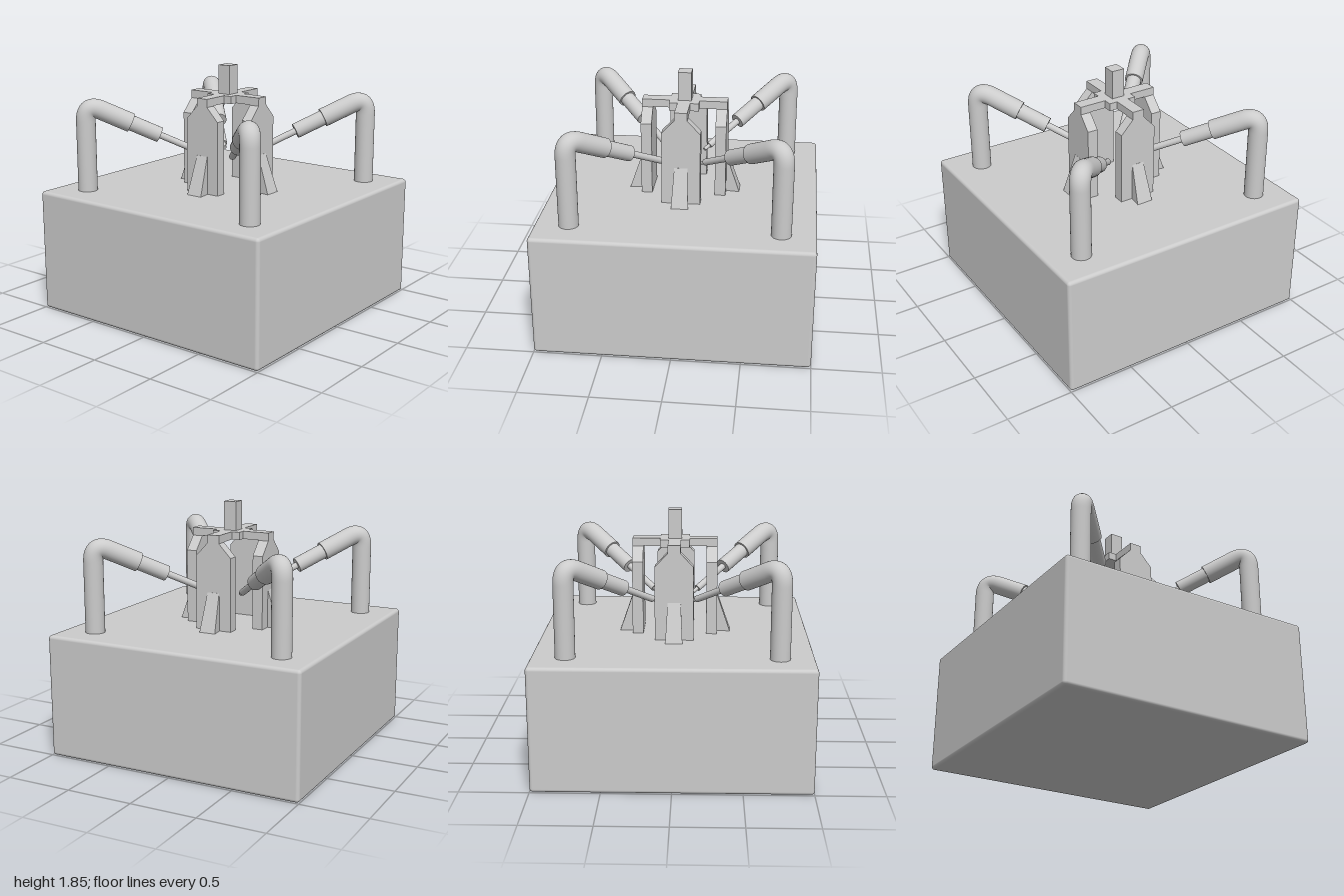
import * as THREE from 'three';
import { RoundedBoxGeometry } from 'three/addons/geometries/RoundedBoxGeometry.js';

const material = new THREE.MeshStandardMaterial({ color: 0xcccccc });
const BASE_TOP = 0.92;

function add(parent, name, geometry, x = 0, y = 0, z = 0) {
  const mesh = new THREE.Mesh(geometry, material);
  mesh.name = name;
  mesh.position.set(x, y, z);
  parent.add(mesh);
  return mesh;
}

// Upright plate with chamfered shoulders and a narrow neck
function pillarGeometry() {
  const outline = [[0.142, BASE_TOP], [0.142, 1.47], [0.047, 1.57], [0.047, 1.63]];
  const mirrored = outline.map(([x, y]) => [-x, y]).reverse();
  const shape = new THREE.Shape([...outline, ...mirrored].map(([x, y]) => new THREE.Vector2(x, y)));
  return new THREE.ExtrudeGeometry(shape, { depth: 0.08, bevelEnabled: false });
}

// Wedge that leans on the pillar and flares outward at the bottom
function footGeometry() {
  const geometry = new THREE.BoxGeometry(1, 1, 1).toNonIndexed();
  const p = geometry.attributes.position;
  for (let i = 0; i < p.count; i++) {
    const top = p.getY(i) > 0;
    const outer = p.getZ(i) > 0;
    const halfWidth = outer && !top ? 0.063 : 0.048;
    p.setXYZ(i, Math.sign(p.getX(i)) * halfWidth, top ? 1.203 : BASE_TOP, outer ? (top ? 0.317 : 0.415) : 0.3);
  }
  geometry.computeVertexNormals();
  return geometry;
}

// Bent pipe with a stepped nozzle, drawn in the XY plane with x as distance from the centre
function createPipeArm() {
  const arm = new THREE.Group();
  const reach = 1.063;
  const axis = (d) => new THREE.Vector3(d, 1.175 + 0.46 * (d - 0.19), 0);
  const corner = axis(reach);
  const bendStart = new THREE.Vector3(reach, corner.y - 0.13, 0);
  const bendEnd = axis(reach - 0.118);

  const path = new THREE.CurvePath();
  path.add(new THREE.LineCurve3(new THREE.Vector3(reach, BASE_TOP - 0.01, 0), bendStart));
  path.add(new THREE.QuadraticBezierCurve3(bendStart, corner, bendEnd));
  add(arm, 'pipeBend', new THREE.TubeGeometry(path, 64, 0.072, 32));

  // Stepped sections: name, inner distance, outer distance, radius
  const sections = [
    ['pipeEnd', 0.73, reach - 0.118, 0.072],
    ['nozzleSleeve', 0.518, 0.74, 0.058],
    ['nozzleRod', 0.235, 0.53, 0.025],
    ['nozzleTip', 0.188, 0.245, 0.014],
  ];
  for (const [name, from, to, radius] of sections) {
    const a = axis(from), b = axis(to);
    const mesh = add(arm, name, new THREE.CylinderGeometry(radius, radius, a.distanceTo(b), 32));
    mesh.position.copy(a).add(b).multiplyScalar(0.5);
    mesh.quaternion.setFromUnitVectors(new THREE.Vector3(0, 1, 0), b.clone().sub(a).normalize());
  }
  return arm;
}

export function createModel() {
  const model = new THREE.Group();
  model.name = 'fountain';

  // Base block
  add(model, 'base', new RoundedBoxGeometry(2, BASE_TOP, 2, 4, 0.025), 0, BASE_TOP / 2, 0);

  // Hub and finial on top of the frame
  add(model, 'hub', new THREE.BoxGeometry(0.22, 0.058, 0.22), 0, 1.601, 0);
  add(model, 'finial', new THREE.BoxGeometry(0.1, 0.22, 0.1), 0, 1.735, 0);

  // Four pillars with beams and feet, four diagonal pipe arms
  const pillar = pillarGeometry();
  const foot = footGeometry();
  for (let i = 0; i < 4; i++) {
    const side = new THREE.Group();
    side.name = 'frameSide';
    side.rotation.y = i * Math.PI / 2;
    add(side, 'pillar', pillar, 0, 0, 0.236);
    add(side, 'foot', foot);
    add(side, 'beam', new THREE.BoxGeometry(0.094, 0.058, 0.13), 0, 1.601, 0.173);
    model.add(side);

    const arm = createPipeArm();
    arm.name = 'pipeArm';
    arm.rotation.y = (i + 0.5) * Math.PI / 2;
    model.add(arm);
  }
  return model;
}
